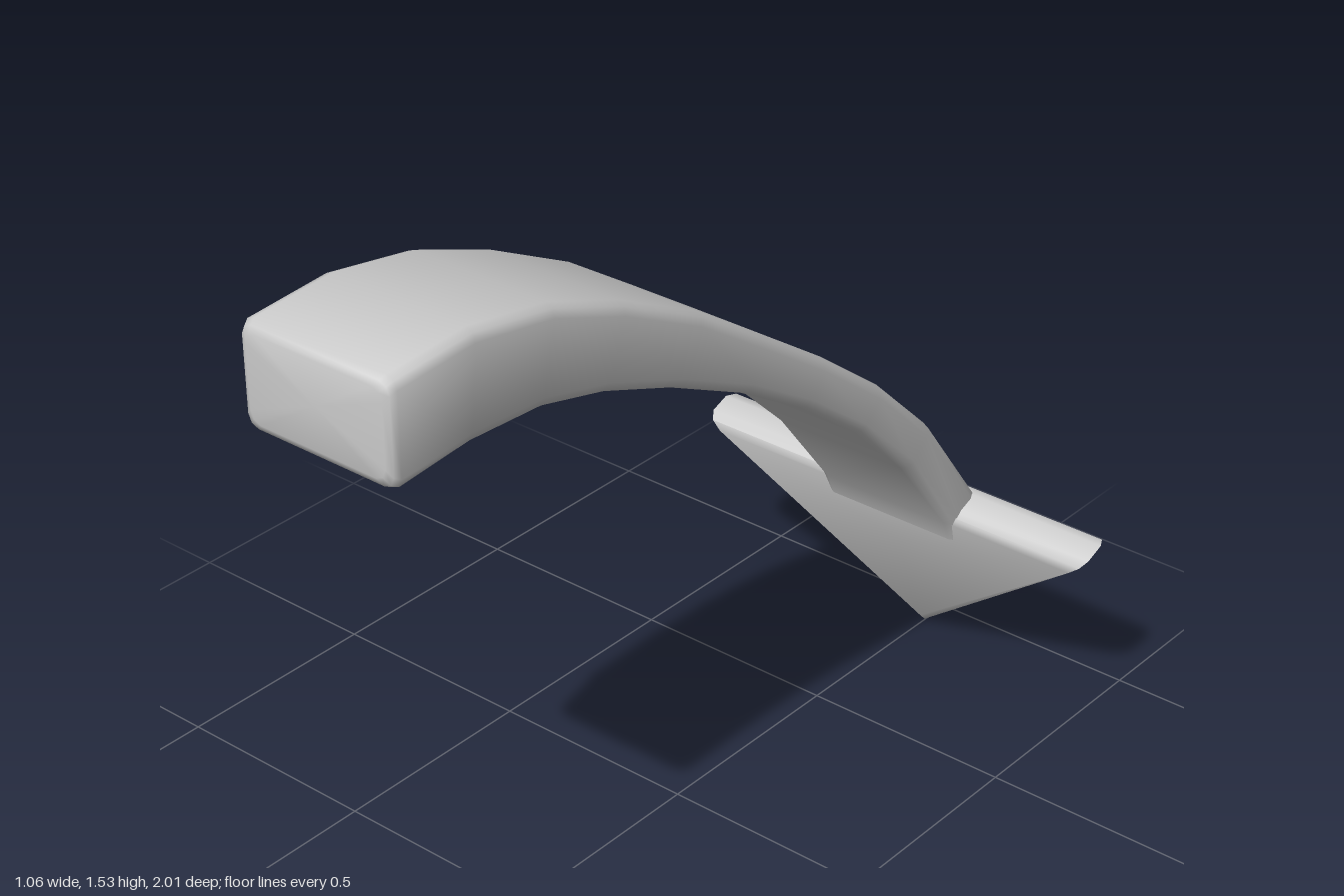
import * as THREE from 'three';
import { toCreasedNormals } from 'three/addons/utils/BufferGeometryUtils.js';

// Skin a list of equal-length rings of Vector3 and close both ends with fans
function loft(rings) {
  const n = rings[0].length, pos = [], idx = [];
  rings.flat().forEach(p => pos.push(p.x, p.y, p.z));
  for (let i = 0; i < rings.length - 1; i++) {
    for (let j = 0; j < n; j++) {
      const a = i * n + j, b = i * n + (j + 1) % n, d = a + n, c = b + n;
      idx.push(a, d, b, b, d, c);
    }
  }
  [0, rings.length - 1].forEach(r => {
    const centre = new THREE.Vector3();
    rings[r].forEach(p => centre.addScaledVector(p, 1 / n));
    const k = pos.length / 3;
    pos.push(centre.x, centre.y, centre.z);
    for (let j = 0; j < n; j++) {
      const a = r * n + j, b = r * n + (j + 1) % n;
      if (r === 0) idx.push(k, a, b);
      else idx.push(k, b, a);
    }
  });
  const g = new THREE.BufferGeometry();
  g.setAttribute('position', new THREE.Float32BufferAttribute(pos, 3));
  g.setIndex(idx);
  return toCreasedNormals(g, 1.0);
}

// Rounded rectangle between a top and a bottom point, each [z, y]
function shaftRing(top, bottom, inset = 0) {
  const hw = 0.19 - inset, r = 0.025;
  const t = new THREE.Vector3(0, top[1], top[0]);
  const b = new THREE.Vector3(0, bottom[1], bottom[0]);
  const mid = t.clone().add(b).multiplyScalar(0.5);
  const up = t.clone().sub(b).normalize();
  const hh = t.distanceTo(b) / 2 - inset;
  const ring = [];
  [[1, 1], [-1, 1], [-1, -1], [1, -1]].forEach(([sx, sy]) => {
    const corner = [[0, r], [0.3 * r, 0.3 * r], [r, 0]];
    if (sx !== sy) corner.reverse();
    corner.forEach(([dx, dy]) => {
      const p = mid.clone().addScaledVector(up, sy * (hh - dy));
      p.x = sx * (hw - dx);
      ring.push(p);
    });
  });
  return ring;
}

export function createModel() {
  const group = new THREE.Group();
  const material = new THREE.MeshStandardMaterial({ color: 0xcccccc });
  const add = (name, geometry) => {
    const mesh = new THREE.Mesh(geometry, material);
    mesh.name = name;
    group.add(mesh);
  };

  // Curved shaft: [top z, top y, bottom z, bottom y], the last station sits inside the head
  const stations = [
    [0.98, 1.517, 0.98, 1.29],
    [0.78, 1.53, 0.80, 1.305],
    [0.57, 1.495, 0.61, 1.295],
    [0.37, 1.42, 0.43, 1.25],
    [0.14, 1.305, 0.22, 1.17],
    [-0.05, 1.18, 0.0, 1.065],
    [-0.26, 1.04, -0.19, 0.95],
    [-0.46, 0.89, -0.38, 0.81],
    [-0.64, 0.72, -0.56, 0.64],
    [-0.842, 0.45, -0.74, 0.415],
    [-0.862, 0.40, -0.765, 0.36],
  ];
  const rings = stations.map(s => shaftRing([s[0], s[1]], [s[2], s[3]]));
  // Rounded butt end
  rings.unshift(
    shaftRing([1, 1.515], [1, 1.29], 0.02),
    shaftRing([0.994, 1.515], [0.994, 1.29], 0.006),
  );
  add('shaft', loft(rings));

  // Arrow head: bevelled triangle in a tilted plane
  const back = new THREE.Vector3(0, 0.455, -0.793);
  const along = new THREE.Vector3(0, -0.932, -0.363);
  const out = new THREE.Vector3(0, 0.363, -0.932);
  const triangle = (hw, start, end, level) =>
    [[hw, start], [-hw, start], [0, end]].map(([x, s]) => {
      const p = back.clone().addScaledVector(along, s).addScaledVector(out, level);
      p.x = x;
      return p;
    });
  add('arrowHead', loft([
    triangle(0.495, 0.025, 0.445, -0.057),
    triangle(0.52, 0.008, 0.469, -0.047),
    triangle(0.532, 0, 0.48, -0.025),
    triangle(0.532, 0, 0.48, 0.025),
    triangle(0.52, 0.008, 0.469, 0.047),
    triangle(0.495, 0.025, 0.445, 0.057),
  ]));

  return group;
}
